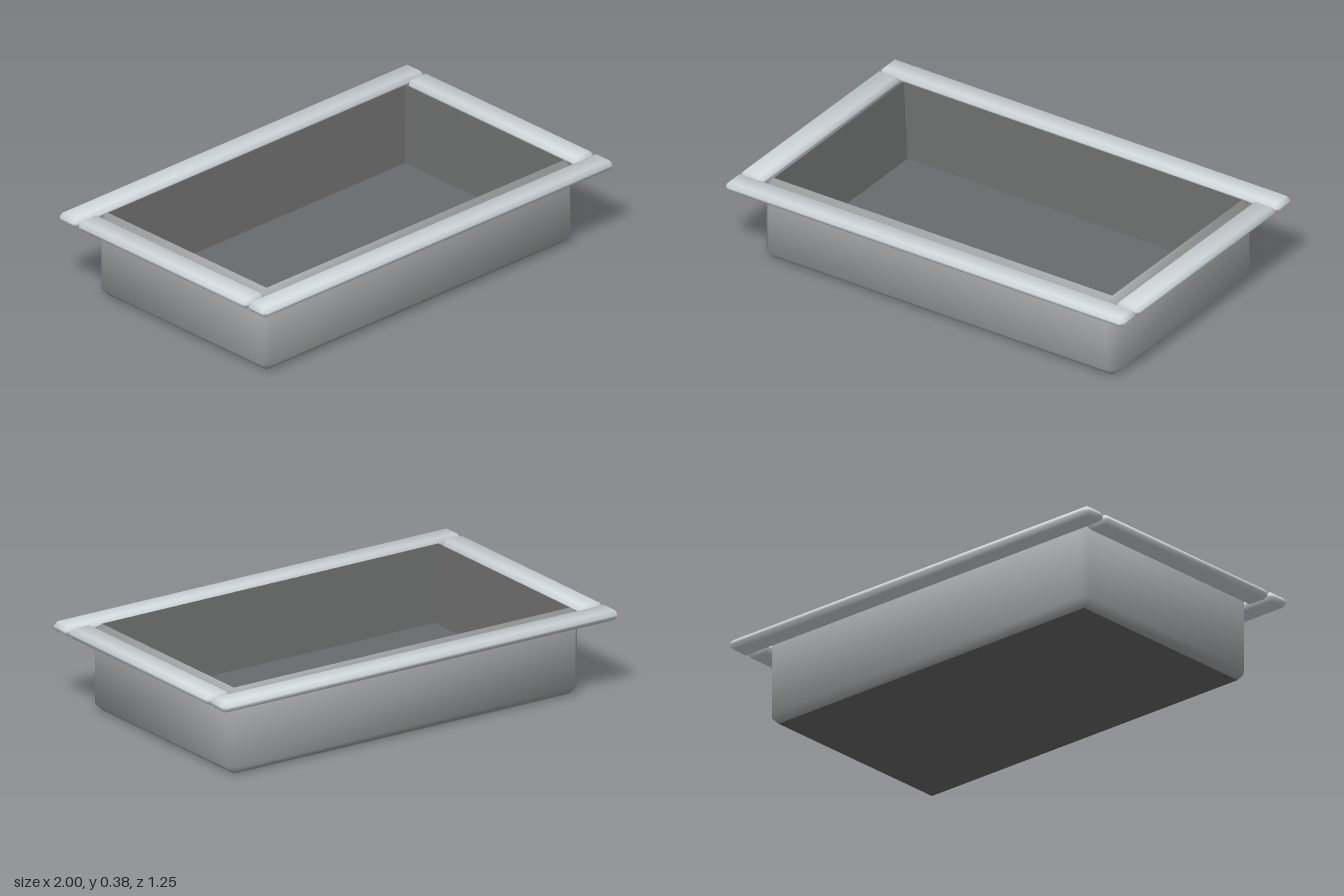
import * as THREE from 'three';

const steel = (name, color) => {
  const m = new THREE.MeshStandardMaterial({ color });
  m.name = name;
  return m;
};
const rimSteel = steel('bright steel', 0xd2d9dd);
const bodySteel = steel('mid grey steel', 0xa8abac);
const darkGrey = steel('dark grey', 0x696a6a);
const floorGrey = steel('blue grey floor', 0x676c6f);

// Box with one chamfer on every edge and soft shading; stands on y = 0.
// w and d are half sizes, h is the full height, rise is the height of the top chamfer.
// Material groups: 0 is everything above the underside, 1 is the underside.
function chamferBox(w, h, d, c, rise = c, openTop = false) {
  const pos = [], nor = [], idx = [];
  const corners = [[1, 1], [-1, 1], [-1, -1], [1, -1]];
  const n = new THREE.Vector3(), main = 2.6;
  for (const [y, sy, cap] of [[0, -1, true], [c, -1, false], [h - rise, 1, false], [h, 1, true]]) {
    corners.forEach(([sx, sz], k) => {
      const order = k % 2 ? ['z', 'x'] : ['x', 'z'];
      for (const face of order) {
        const ix = cap || face === 'z' ? c : 0;
        const iz = cap || face === 'x' ? c : 0;
        pos.push(sx * (w - ix), y, sz * (d - iz));
        n.set(sx, sy, sz);
        if (!cap) n[face] *= main;
        else if (sy < 0 || !openTop) n.y *= main;
        n.normalize();
        nor.push(n.x, n.y, n.z);
      }
    });
  }
  for (let j = 0; j < 3; j++) {
    for (let i = 0; i < 8; i++) {
      const a = j * 8 + i, b = j * 8 + (i + 1) % 8;
      // at the caps each corner is a single point, so its chamfer is one triangle
      if (!(j === 0 && i % 2 === 0)) idx.push(a, a + 8, b);
      if (!(j === 2 && i % 2 === 0)) idx.push(b, a + 8, b + 8);
    }
  }
  if (!openTop) idx.push(24, 28, 26, 24, 30, 28);
  const g = new THREE.BufferGeometry();
  g.addGroup(0, idx.length, 0);
  g.addGroup(idx.length, 6, 1);
  idx.push(0, 2, 4, 0, 4, 6);
  g.setAttribute('position', new THREE.Float32BufferAttribute(pos, 3));
  g.setAttribute('normal', new THREE.Float32BufferAttribute(nor, 3));
  g.setIndex(idx);
  return g;
}

// Inward-facing open box whose walls taper towards the floor.
// Material groups: 0 is the walls, 1 is the floor.
function cavity(w, d, top, floor, taper) {
  const box = new THREE.BoxGeometry(2 * w, top - floor, 2 * d);
  box.translate(0, (top + floor) / 2, 0);
  const p = box.attributes.position;
  for (let i = 0; i < p.count; i++) {
    if (p.getY(i) > (top + floor) / 2) continue;
    p.setX(i, p.getX(i) - Math.sign(p.getX(i)) * taper);
    p.setZ(i, p.getZ(i) - Math.sign(p.getZ(i)) * taper);
  }
  const index = Array.from(box.index.array);
  index.splice(12, 6); // leave the top open
  box.setIndex(index.reverse());
  const g = box.toNonIndexed();
  g.clearGroups();
  g.addGroup(0, 12, 0);
  g.addGroup(12, 6, 1);
  g.addGroup(18, 12, 0);
  g.computeVertexNormals();
  return g;
}

export function createModel() {
  const group = new THREE.Group();
  const add = (name, geometry, material, x = 0, y = 0, z = 0) => {
    const mesh = new THREE.Mesh(geometry, material);
    mesh.name = name;
    mesh.position.set(x, y, z);
    group.add(mesh);
  };

  // Tub shell with a dark underside, and its lining
  add('tubBody', chamferBox(0.885, 0.378, 0.511, 0.036, 0.026, true), [bodySteel, darkGrey]);
  add('tubCavity', cavity(0.849, 0.475, 0.378, 0.06, 0.062), [darkGrey, floorGrey]);

  // Rim bars: long ones front and back, short ones between them
  const longBar = chamferBox(1, 0.044, 0.0565, 0.018);
  const shortBar = chamferBox(0.058, 0.044, 0.51, 0.018);
  for (const s of [1, -1]) {
    add(s > 0 ? 'frontRim' : 'backRim', longBar, rimSteel, 0, 0.334, s * 0.5665);
    add(s > 0 ? 'leftRim' : 'rightRim', shortBar, rimSteel, s * 0.942, 0.334, 0);
  }
  return group;
}
